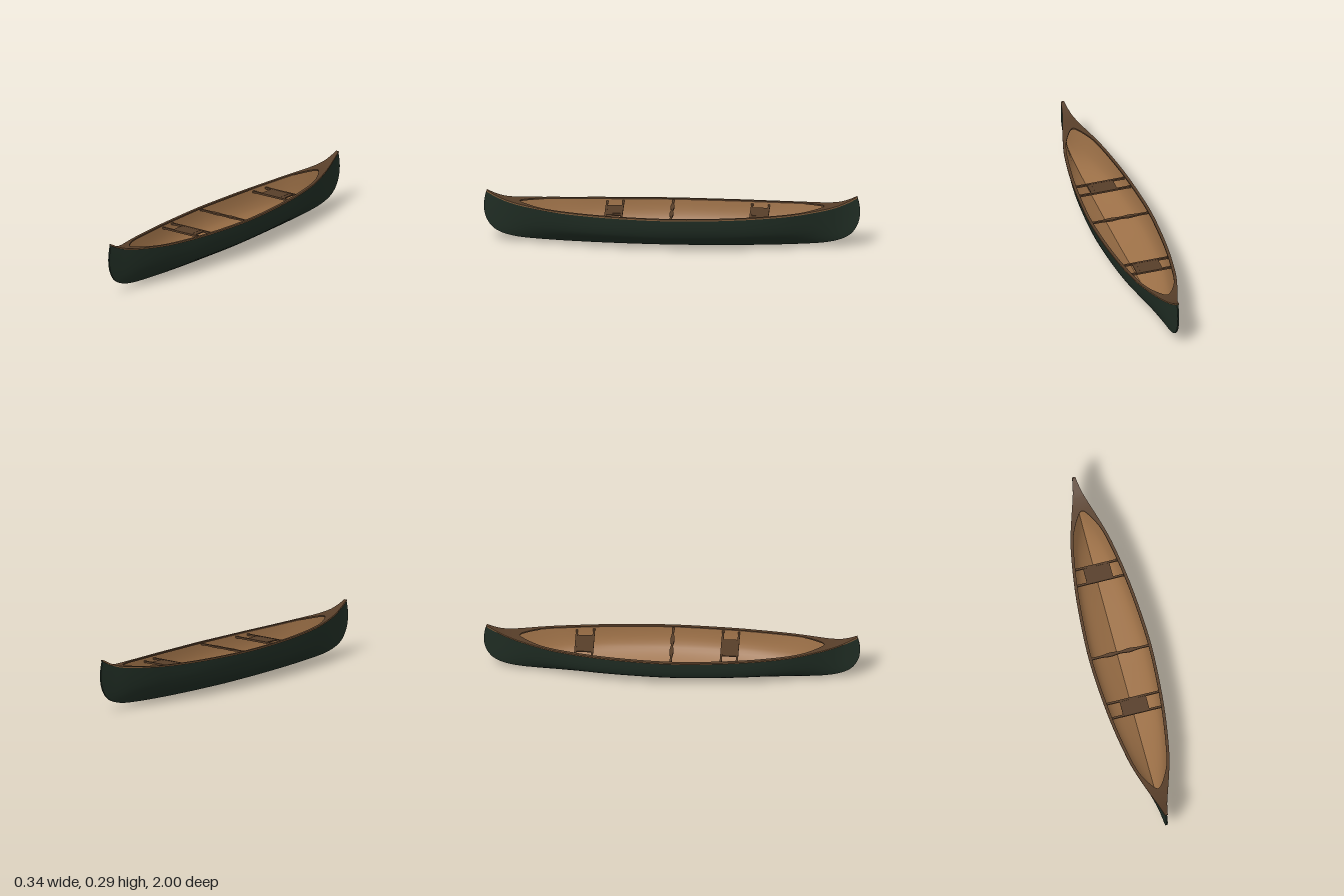
import * as THREE from 'three';
import { toCreasedNormals } from 'three/addons/utils/BufferGeometryUtils.js';

// Smooth curve through [position, value] pairs, even in z
function profile(pts) {
  const slope = (i) => {
    if (i === 0) return 0;
    const a = pts[i - 1], b = pts[Math.min(i + 1, pts.length - 1)];
    return (b[1] - a[1]) / (b[0] - a[0]);
  };
  return (z) => {
    const t = Math.min(Math.abs(z), 1);
    let i = 0;
    while (i < pts.length - 2 && t > pts[i + 1][0]) i++;
    const [x0, y0] = pts[i], [x1, y1] = pts[i + 1];
    const d = x1 - x0, u = (t - x0) / d, u2 = u * u, u3 = u2 * u;
    return (2 * u3 - 3 * u2 + 1) * y0 + (u3 - 2 * u2 + u) * d * slope(i)
      + (3 * u2 - 2 * u3) * y1 + (u3 - u2) * d * slope(i + 1);
  };
}

const beam = profile([[0, 0.171], [0.2, 0.163], [0.4, 0.145], [0.6, 0.114], [0.7, 0.09],
  [0.8, 0.059], [0.9, 0.027], [0.95, 0.016], [1, 0.008]]);
const sheer = profile([[0, 0.202], [0.3, 0.205], [0.6, 0.215], [0.8, 0.232],
  [0.88, 0.246], [0.94, 0.266], [1, 0.291]]);
const midSection = [[1, 1], [0.985, 0.85], [0.955, 0.7], [0.915, 0.59], [0.86, 0.48], [0.79, 0.4],
  [0.7, 0.33], [0.59, 0.265], [0.47, 0.205], [0.24, 0.1], [0, 0]];
const KEEL = 0.004;

// The stems curve back slightly toward the top
function rake(x, y, z) {
  const k = THREE.MathUtils.smoothstep(Math.abs(z), 0.88, 1);
  const back = y > 0.2 ? 0.015 * ((y - 0.2) / 0.09) ** 2 * k : 0;
  return [x, y, z - Math.sign(z) * back];
}

// Skin over rows of points
function loft(rows, flip = false) {
  const n = rows[0].length, index = [];
  for (let i = 0; i < rows.length - 1; i++) {
    for (let j = 0; j < n - 1; j++) {
      const a = i * n + j, b = a + n, c = a + 1, d = b + 1;
      if (flip) index.push(a, c, b, b, c, d);
      else index.push(a, b, c, b, d, c);
    }
  }
  const g = new THREE.BufferGeometry();
  g.setAttribute('position', new THREE.Float32BufferAttribute(rows.flat(2), 3));
  g.setIndex(index);
  g.computeVertexNormals();
  return g;
}

const mirrorRows = (rows) => rows.map((r) => r.map(([x, y, z]) => [-x, y, z]));

export function createModel() {
  const mat = (name, color) => {
    const m = new THREE.MeshStandardMaterial({ color });
    m.name = name;
    return m;
  };
  const green = mat('dark green hull', 0x1f2c23);
  const tan = mat('tan wood', 0x9c7047);
  const edge = mat('gunwale edge wood', 0x7c5939);
  const brown = mat('brown wood', 0x573e29);

  const model = new THREE.Group();
  model.name = 'canoe';
  const add = (name, geometry, material, parent = model) => {
    const m = new THREE.Mesh(geometry, material);
    m.name = name;
    parent.add(m);
    return m;
  };

  // Keel line, rising into the stems at both ends
  const half = new THREE.SplineCurve([[0, 0], [0.25, 0.003], [0.5, 0.01], [0.7, 0.02], [0.82, 0.031],
    [0.9, 0.051], [0.95, 0.08], [0.98, 0.12], [0.995, 0.16], [1, 0.2]]
    .map(([z, y]) => new THREE.Vector2(z, y))).getPoints(54);
  const keel = [...half.slice(1).reverse().map((p) => [-p.x, p.y]), ...half.map((p) => [p.x, p.y])];

  // One half section, from rim to keel; the ends turn to a sharper V
  const section = (z, keelY, inset) => {
    const top = sheer(z) - 0.004, low = keelY + inset;
    const w = Math.max(beam(z) - 0.006 - inset, KEEL);
    const foot = inset ? 0 : KEEL;
    const k = THREE.MathUtils.smoothstep(Math.abs(z), 0.35, 1);
    return midSection.map(([f, h]) => {
      const full = THREE.MathUtils.lerp(f, h ** 0.6, k);
      return rake(foot + (w - foot) * full, low + (top - low) * h, z);
    });
  };

  // Outer hull and inner lining
  const outer = keel.map(([z, y]) => section(z, y, 0));
  const inner = keel.filter(([z]) => Math.abs(z) < 0.93).map(([z, y]) => section(z, y, 0.004));
  add('hullLeft', loft(outer), green);
  add('hullRight', loft(mirrorRows(outer), true), green);
  add('liningLeft', loft(inner, true), tan);
  add('liningRight', loft(mirrorRows(inner)), tan);

  // Narrow keel band running up both stems
  const bandPath = [...outer[0], ...keel.map(([z, y]) => [KEEL, y, z]), ...outer.at(-1).slice().reverse()];
  add('keelBand', loft(bandPath.map(([, y, z]) => [[KEEL, y, z], [-KEEL, y, z]])), green);

  // Gunwales, widening into the end decks around a rounded opening
  const opening = (z) => {
    const e = Math.max(0, (Math.abs(z) - 0.67) / 0.14);
    return e >= 1 ? 0 : (beam(z) - 0.016) * Math.sqrt(1 - e * e);
  };
  const edgeRows = [], deckRows = [];
  for (let i = -200; i <= 200; i++) {
    const z = i / 200, y = sheer(z), w = beam(z), o = opening(z);
    const at = (x, drop) => rake(x, y - drop, z);
    edgeRows.push([at(w, 0), at(w, 0.008), at(o, 0.008)]);
    deckRows.push([at(o, 0.008), at(o, 0), at(w, 0)]);
  }
  for (const [name, rows, material] of [['gunwaleEdge', edgeRows, edge], ['gunwaleAndDeck', deckRows, brown]]) {
    add(name + 'Left', toCreasedNormals(loft(rows), 0.6), material);
    add(name + 'Right', toCreasedNormals(loft(mirrorRows(rows), true), 0.6), material);
  }
  for (const s of [-1, 1]) {
    const cap = add('stemCap', new THREE.BoxGeometry(0.016, 0.008, 0.006), edge);
    cap.position.set(0, sheer(1) - 0.006, s * 0.982);
  }

  // Seats: two crossbars, a panel and a side slat
  for (const [name, z0, z1] of [['rearSeat', -0.51, -0.42], ['frontSeat', 0.265, 0.35]]) {
    const seat = new THREE.Group();
    seat.name = name;
    model.add(seat);
    const y = 0.186, mid = (z0 + z1) / 2;
    for (const z of [z0, z1]) {
      const bar = add('seatBar', new THREE.BoxGeometry(2 * (beam(z) - 0.013), 0.01, 0.011), brown, seat);
      bar.position.set(0, y, z);
    }
    add('seatPanel', new THREE.BoxGeometry(0.122, 0.006, z1 - z0), brown, seat).position.set(-0.011, y + 0.001, mid);
    add('seatSlat', new THREE.BoxGeometry(0.022, 0.006, z1 - z0), brown, seat).position.set(0.061, y, mid);
  }

  // Carved carrying yoke amidships
  const contour = [[-0.158, 0.006], [-0.1, 0.006], [-0.05, 0.011], [0, 0.006], [0.05, 0.011], [0.1, 0.006], [0.158, 0.006]];
  const yoke = new THREE.Shape();
  yoke.moveTo(-0.158, -0.006);
  yoke.splineThru(contour.slice(1).map(([x, d]) => new THREE.Vector2(x, -d)));
  yoke.lineTo(0.158, 0.006);
  yoke.splineThru(contour.slice(0, -1).reverse().map(([x, d]) => new THREE.Vector2(x, d)));
  const yokeGeo = new THREE.ExtrudeGeometry(yoke, { depth: 0.009, bevelEnabled: false, curveSegments: 24 });
  yokeGeo.rotateX(-Math.PI / 2);
  add('yoke', yokeGeo, brown).position.y = 0.186;

  return model;
}
